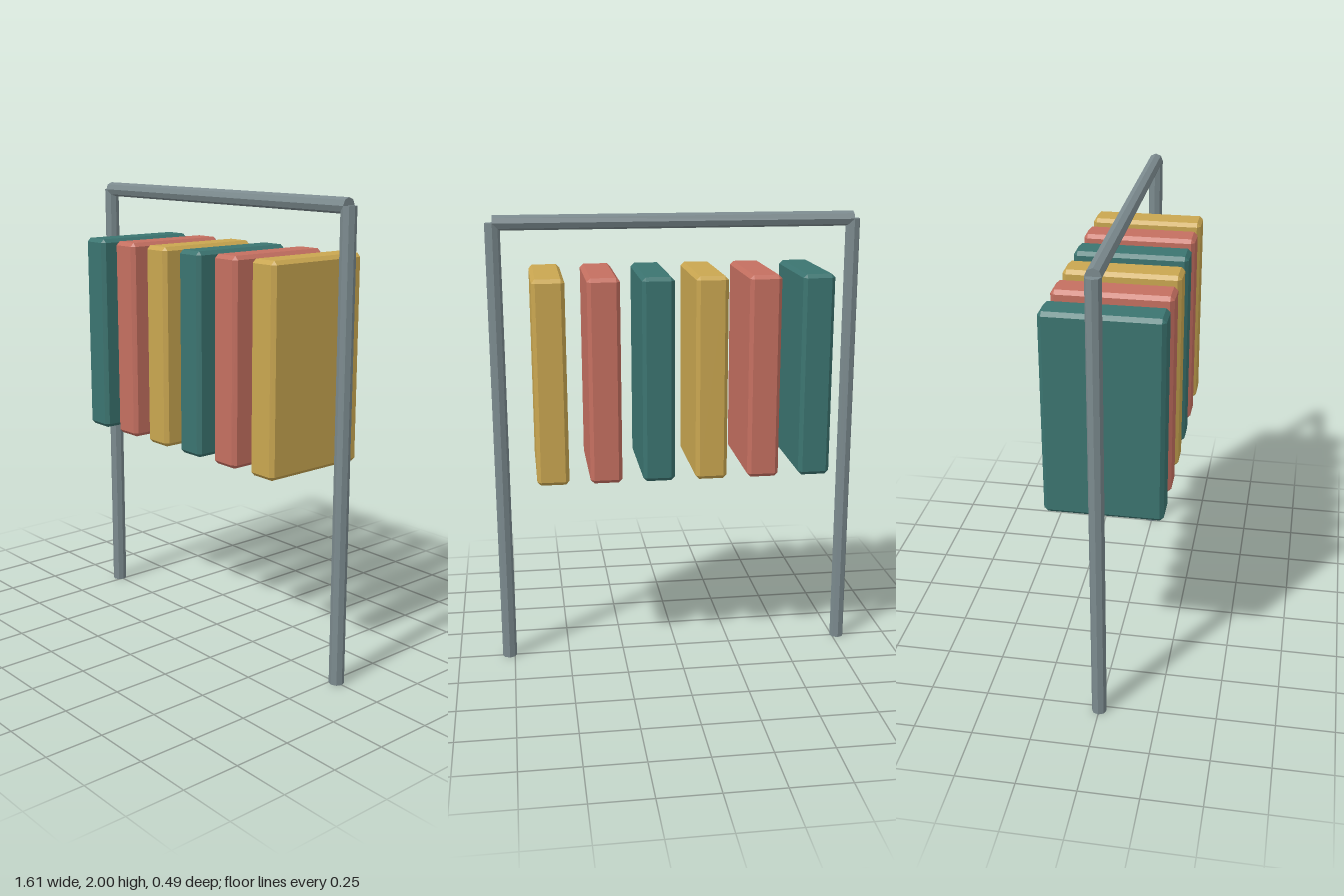
import * as THREE from 'three';
import { ConvexGeometry } from 'three/addons/geometries/ConvexGeometry.js';

function material(name, color) {
  const m = new THREE.MeshStandardMaterial({ color });
  m.name = name;
  return m;
}

// Box with every edge cut by a single chamfer
function chamferedBox(w, h, d, c) {
  const points = [];
  for (const x of [-w / 2, w / 2])
    for (const y of [-h / 2, h / 2])
      for (const z of [-d / 2, d / 2])
        for (let axis = 0; axis < 3; axis++) {
          const p = [x, y, z].map((v, i) => (i === axis ? v : v - Math.sign(v) * c));
          points.push(new THREE.Vector3(...p));
        }
  return new ConvexGeometry(points);
}

// Octagonal tube with faceted sides
function tube(radius, length) {
  const g = new THREE.CylinderGeometry(radius, radius, length, 8).toNonIndexed();
  g.computeVertexNormals();
  return g;
}

export function createModel() {
  const model = new THREE.Group();
  model.name = 'hangingPanelFrame';

  const steel = material('steel grey', 0x7b8a8e);
  const panelColours = [
    material('teal', 0x3b7470),
    material('coral', 0xc46f60),
    material('mustard', 0xc9a650),
  ];

  const add = (name, geometry, mat, x, y, z = 0) => {
    const mesh = new THREE.Mesh(geometry, mat);
    mesh.name = name;
    mesh.position.set(x, y, z);
    model.add(mesh);
    return mesh;
  };

  // Frame: two posts and a top rail
  const radius = 0.032, span = 0.773, railY = 2 - radius;
  const postGeometry = tube(radius, railY);
  add('rightPost', postGeometry, steel, -span, railY / 2);
  add('leftPost', postGeometry, steel, span, railY / 2);
  const rail = add('topRail', tube(radius, span * 2), steel, 0, railY);
  rail.rotation.z = Math.PI / 2;

  // Row of six hanging panels in three repeating colours
  const panelGeometry = chamferedBox(0.136, 0.875, 0.491, 0.016);
  for (let i = 0; i < 6; i++) {
    add(`panel${i + 1}`, panelGeometry, panelColours[i % 3], -0.572 + i * 0.2258, 1.325);
  }

  return model;
}
